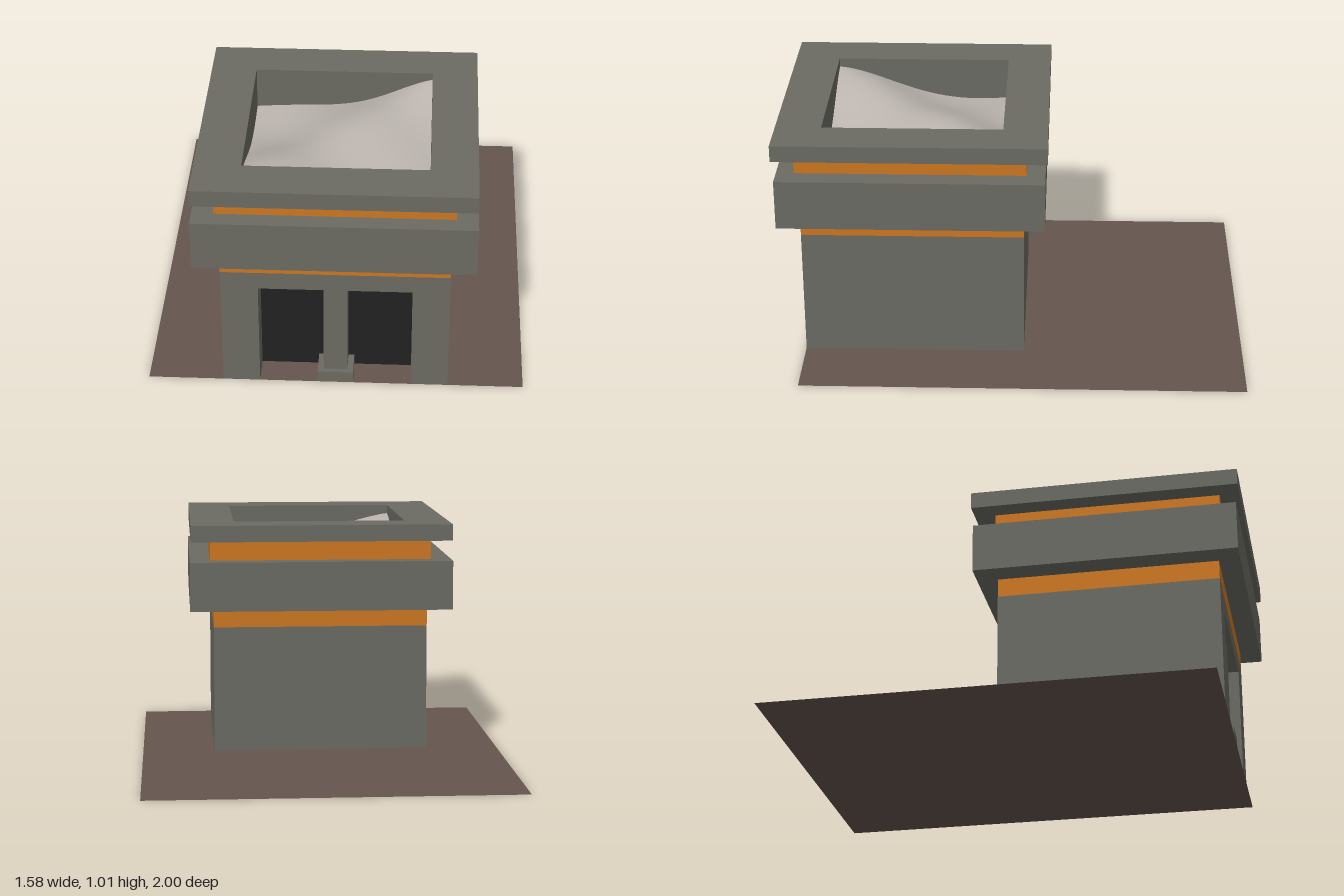
import * as THREE from 'three';

const mat = (color, extra = {}) => new THREE.MeshStandardMaterial({ color, ...extra });

export function createModel() {
  const model = new THREE.Group();
  const stone = mat(0x6b6b63);
  const orange = mat(0xcc7722);
  const dark = mat(0x222222);
  const earth = mat(0x65554d, { side: THREE.DoubleSide });
  const cloth = mat(0xbbb4ae, { side: THREE.DoubleSide });

  const add = (name, geometry, material) => {
    const mesh = new THREE.Mesh(geometry, material);
    mesh.name = name;
    model.add(mesh);
    return mesh;
  };

  // Box given by its half width and its y and z limits
  const block = (name, hx, y0, y1, z0, z1, material) => {
    const mesh = add(name, new THREE.BoxGeometry(hx * 2, y1 - y0, z1 - z0), material);
    mesh.position.set(0, (y0 + y1) / 2, (z0 + z1) / 2);
    return mesh;
  };

  // Square recess in the roof, shared by every frame around it
  const hole = { hx: 0.38, z0: 0.04, z1: 0.805 };
  const rect = (Type, hx, z0, z1) => new Type([
    new THREE.Vector2(-hx, -z1), new THREE.Vector2(hx, -z1),
    new THREE.Vector2(hx, -z0), new THREE.Vector2(-hx, -z0),
  ]);

  // Horizontal frame with an opening, extruded upwards
  const frame = (name, hx, y0, y1, z0, z1, inner, material) => {
    const shape = rect(THREE.Shape, hx, z0, z1);
    shape.holes.push(rect(THREE.Path, inner.hx, inner.z0, inner.z1));
    const geometry = new THREE.ExtrudeGeometry(shape, { depth: y1 - y0, bevelEnabled: false });
    geometry.rotateX(-Math.PI / 2);
    geometry.translate(0, y0, 0);
    return add(name, geometry, material);
  };

  // Ground sheet
  const ground = add('ground', new THREE.PlaneGeometry(1.58, 1.9).rotateX(-Math.PI / 2), earth);
  ground.position.z = -0.05;

  // Main body and the front wall with its wide opening
  const recessZ = 0.77;
  block('body', 0.473, 0.001, 0.555, -0.05, recessZ, stone);
  const wall = new THREE.Shape([
    [-0.473, 0.001], [-0.318, 0.001], [-0.318, 0.477], [0.318, 0.477],
    [0.318, 0.001], [0.473, 0.001], [0.473, 0.555], [-0.473, 0.555],
  ].map(([x, y]) => new THREE.Vector2(x, y)));
  const wallGeometry = new THREE.ExtrudeGeometry(wall, { depth: 0.9 - recessZ, bevelEnabled: false });
  add('frontWall', wallGeometry.translate(0, 0, recessZ), stone);
  block('doorway', 0.318, 0.001, 0.477, recessZ, recessZ + 0.004, dark);

  // Column standing in the middle of the opening
  block('column', 0.05, 0.05, 0.477, 0.775, 0.875, stone);
  block('columnBase', 0.075, 0.001, 0.05, 0.774, 0.898, stone);

  // Stacked bands and overhanging slabs
  block('lowerBand', 0.473, 0.555, 0.637, -0.05, 0.9, orange);
  block('lowerSlabFloor', 0.577, 0.637, 0.78, -0.14, 0.99, stone);
  frame('lowerSlab', 0.577, 0.78, 0.853, -0.14, 0.99, hole, stone);
  const lining = { hx: 0.42, z0: 0, z1: 0.845 };
  frame('upperBand', 0.488, 0.853, 0.943, -0.06, 0.915, lining, orange);
  frame('recessLining', lining.hx, 0.853, 0.943, lining.z0, lining.z1, hole, stone);
  frame('cap', 0.573, 0.943, 1.015, -0.15, 1, hole, stone);

  // Soft sheet in the recess: a diagonal ridge that lifts towards two corners
  const depth = hole.z1 - hole.z0;
  const sheet = new THREE.PlaneGeometry(hole.hx * 2, depth, 24, 24).rotateX(-Math.PI / 2);
  const p = sheet.attributes.position;
  for (let i = 0; i < p.count; i++) {
    const x = p.getX(i), z = p.getZ(i);
    const across = x + z, along = x - z;
    const ridge = Math.exp(-((across / 0.32) ** 2));
    p.setY(i, 0.832 + ridge * (0.09 + 0.1 * along * along) + 0.008 * Math.sin(9 * along));
  }
  sheet.computeVertexNormals();
  add('roofSheet', sheet, cloth).position.z = (hole.z0 + hole.z1) / 2;

  return model;
}
